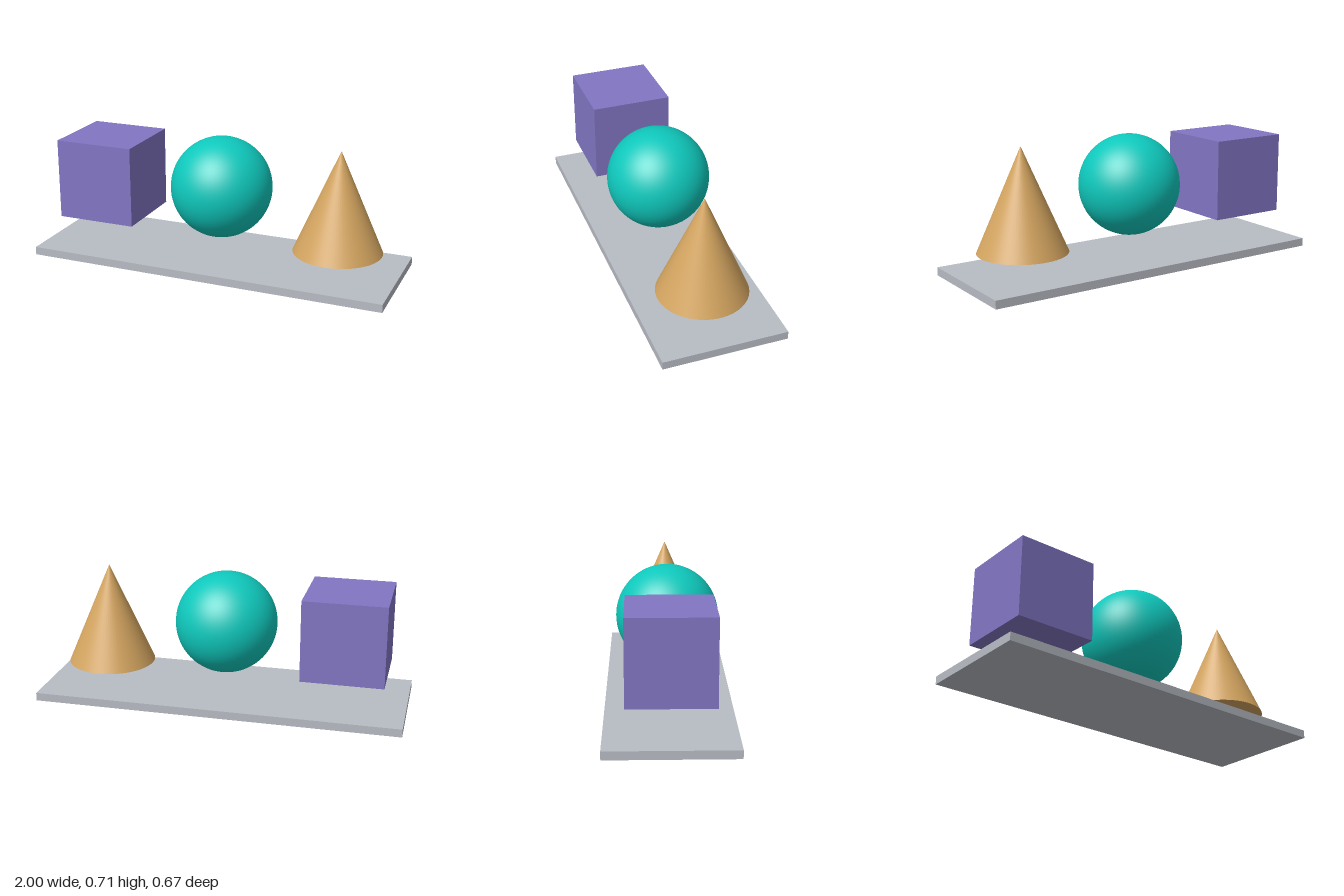
import * as THREE from 'three';

const U = 2 / 9; // design unit: the base is 9 units long

export function createModel() {
  const model = new THREE.Group();
  model.name = 'shapeDisplay';

  const material = (name, color) => {
    const m = new THREE.MeshStandardMaterial({ color });
    m.name = name;
    return m;
  };
  const add = (name, geometry, mat, x, y) => {
    const mesh = new THREE.Mesh(geometry, mat);
    mesh.name = name;
    mesh.position.set(x * U, y * U, 0);
    model.add(mesh);
  };

  // Flat base slab
  add('base', new THREE.BoxGeometry(9 * U, 0.2 * U, 3 * U), material('grey', 0xb8bcc4), 0, 0.1);

  // Three solids floating above the base, centred at one height
  const height = 1.94;
  add('cube', new THREE.BoxGeometry(2 * U, 2 * U, 2 * U), material('violet', 0x8276c4), -3, height);
  add('ball', new THREE.SphereGeometry(1.25 * U, 64, 40), material('turquoise', 0x0fc8bc), 0, height);
  add('cone', new THREE.ConeGeometry(1.08 * U, 2.5 * U, 64), material('tan', 0xd4a560), 3, height);

  return model;
}
